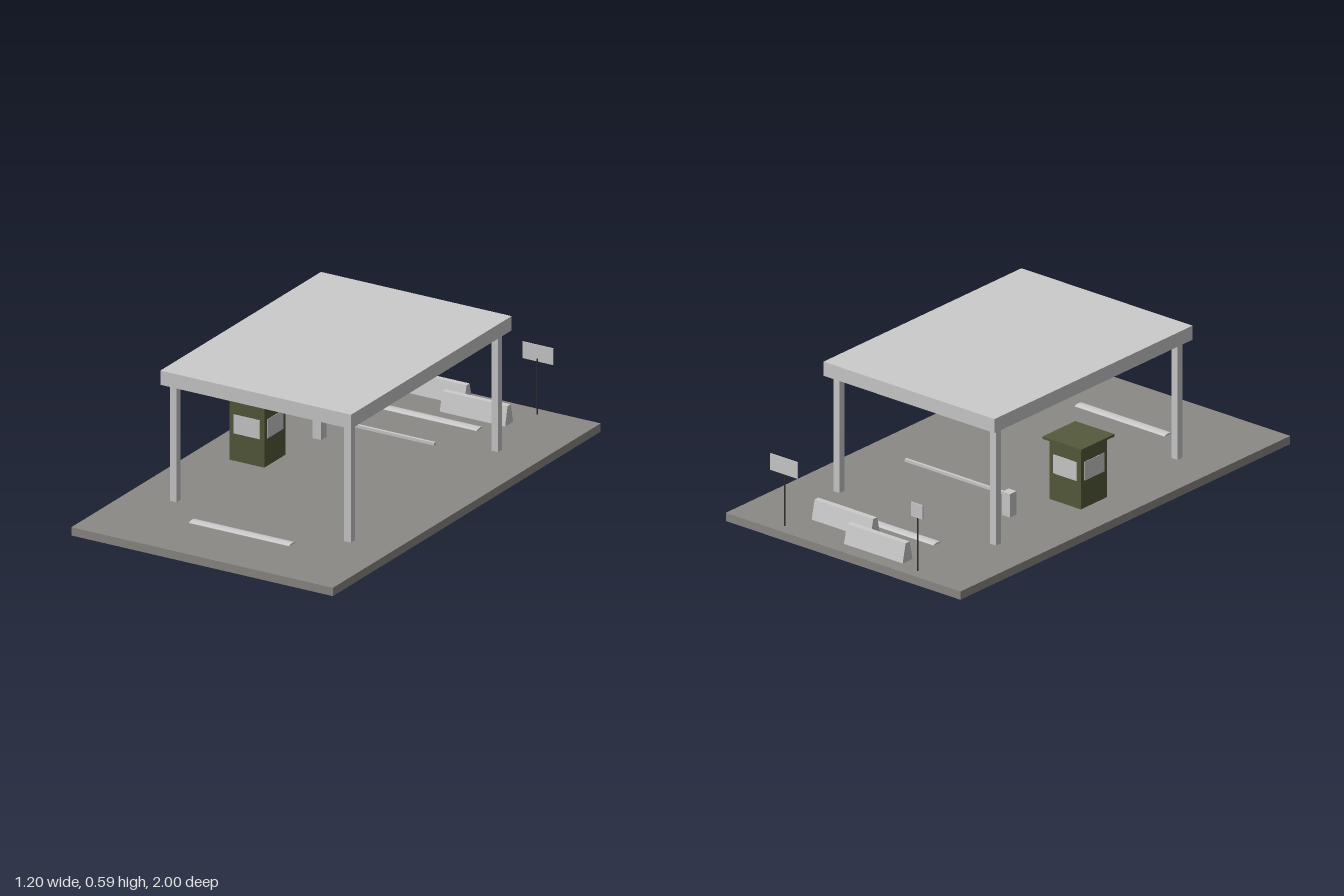
import * as THREE from 'three';

const paint = (color) => new THREE.MeshStandardMaterial({ color });

export function createModel() {
  const model = new THREE.Group();
  const grey = paint(0xcccccc);
  const asphalt = paint(0x8c8a85);
  const olive = paint(0x565a3b);
  const dark = paint(0x333333);
  const floor = 0.035;

  const add = (name, geometry, material, x, y, z, parent = model) => {
    const mesh = new THREE.Mesh(geometry, material);
    mesh.name = name;
    mesh.position.set(x, y, z);
    parent.add(mesh);
    return mesh;
  };
  // Box placed by its underside
  const box = (name, w, h, d, material, x, y, z, parent) =>
    add(name, new THREE.BoxGeometry(w, h, d), material, x, y + h / 2, z, parent);

  // Paved slab and canopy
  box('groundSlab', 1.2, floor, 2, asphalt, 0, 0, 0);
  box('canopyRoof', 0.875, 0.06, 1.2, grey, 0, 0.532, 0);
  for (const x of [-0.4, 0.4]) {
    for (const z of [-0.55, 0.55]) box('canopyColumn', 0.03, 0.497, 0.03, grey, x, floor, z);
  }
  for (const x of [-0.3, 0, 0.3]) box('canopyLight', 0.05, 0.005, 0.06, grey, x, 0.527, 0);

  // Guard booth with a window on each wall
  const booth = new THREE.Group();
  booth.name = 'guardBooth';
  booth.position.set(-0.36, 0, 0);
  model.add(booth);
  box('boothWalls', 0.16, 0.257, 0.16, olive, 0, floor, 0, booth);
  box('boothRoof', 0.2, 0.01, 0.2, olive, 0, 0.292, 0, booth);
  for (const side of [-1, 1]) {
    box('boothWindow', 0.12, 0.08, 0.004, grey, 0, 0.151, side * 0.08, booth);
    box('boothWindow', 0.004, 0.08, 0.12, grey, side * 0.08, 0.151, 0, booth);
  }

  // Boom gate
  box('gateHousing', 0.04, 0.1, 0.04, grey, -0.26, floor, -0.3);
  box('gateArm', 0.5, 0.012, 0.012, grey, 0.02, 0.115, -0.3);

  // Speed bumps: flattened half cylinders lying along x
  const bump = new THREE.CylinderGeometry(0.023, 0.023, 0.46, 20, 1, false, 0, Math.PI);
  bump.rotateZ(Math.PI / 2).scale(1, 0.3, 1);
  for (const z of [-0.7, 0.7]) add('speedBump', bump, grey, 0, floor, z);

  // Concrete barriers with a tapered section
  const section = new THREE.Shape([
    new THREE.Vector2(-0.03, 0), new THREE.Vector2(0.03, 0),
    new THREE.Vector2(0.012, 0.08), new THREE.Vector2(-0.012, 0.08),
  ]);
  const barrier = new THREE.ExtrudeGeometry(section, { depth: 0.3, bevelEnabled: false });
  barrier.translate(0, 0, -0.15).rotateY(Math.PI / 2);
  add('concreteBarrier', barrier, grey, -0.1, floor, -0.905);
  add('concreteBarrier', barrier, grey, 0.15, floor, -0.805);

  // Roadside signs: a thin post with a blank panel behind it
  const sign = (x, width, height, bottom) => {
    const group = new THREE.Group();
    group.name = 'roadSign';
    group.position.set(x, 0, -0.95);
    model.add(group);
    add('signPost', new THREE.CylinderGeometry(0.003, 0.003, 0.235, 8), dark, 0, floor + 0.1175, 0, group);
    box('signPanel', width, height, 0.004, grey, 0, bottom, -0.004, group);
  };
  sign(0.34, 0.14, 0.07, 0.257);
  sign(-0.34, 0.06, 0.06, 0.262);

  return model;
}
